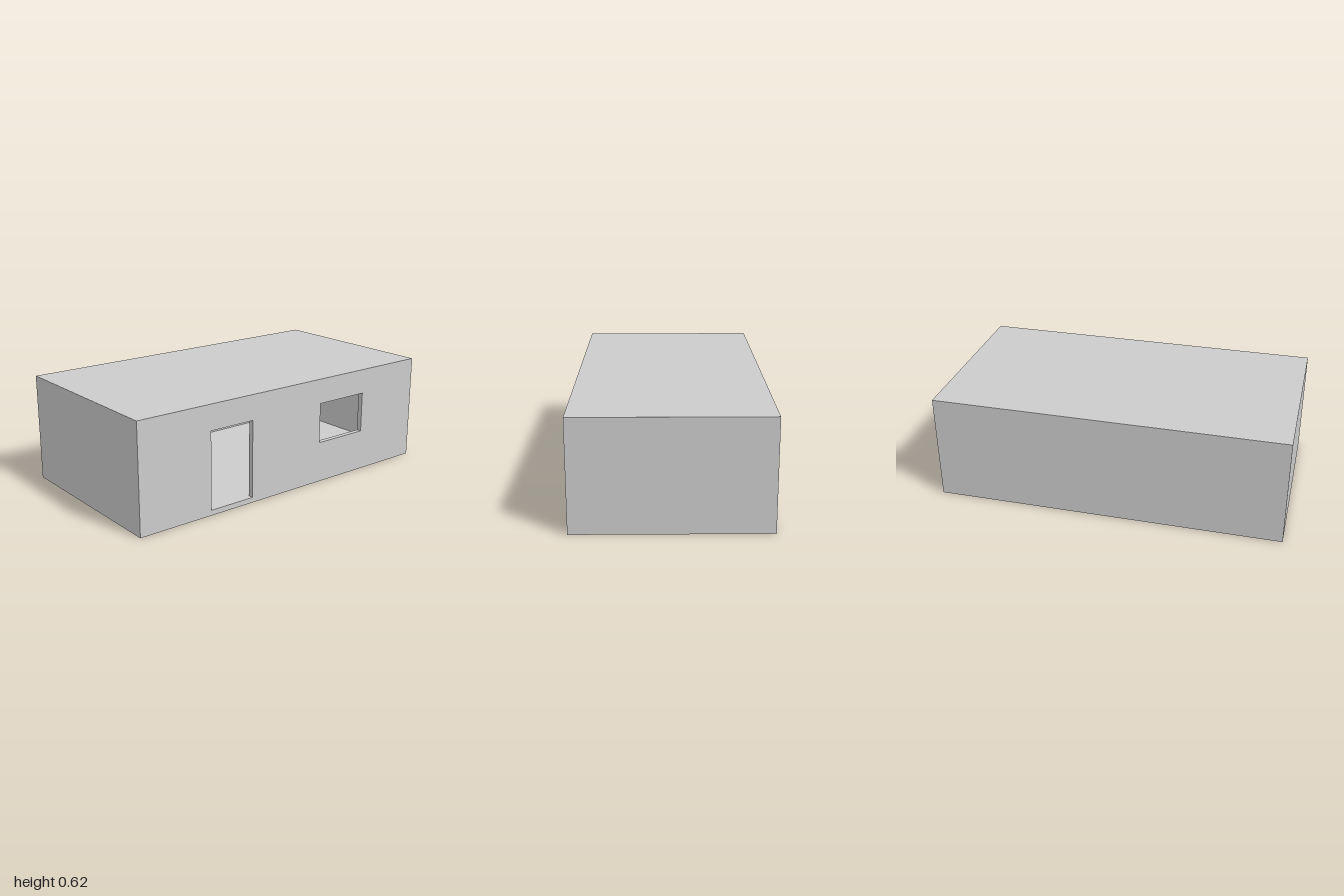
import * as THREE from 'three';

const W = 2, H = 0.62, D = 1.06, T = 0.03; // outer size and wall thickness

export function createModel() {
  const house = new THREE.Group();
  house.name = 'house';
  const material = new THREE.MeshStandardMaterial({ color: 0xcccccc });

  function add(name, geometry, x, y, z) {
    const mesh = new THREE.Mesh(geometry, material);
    mesh.name = name;
    mesh.position.set(x, y, z);
    house.add(mesh);
  }

  function rectangle(path, x0, y0, x1, y1) {
    path.moveTo(x0, y0);
    path.lineTo(x1, y0);
    path.lineTo(x1, y1);
    path.lineTo(x0, y1);
    path.closePath();
    return path;
  }

  // Floor and roof slabs
  add('floor', new THREE.BoxGeometry(W, T, D), 0, T / 2, 0);
  add('roof', new THREE.BoxGeometry(W, T, D), 0, H - T / 2, 0);

  // Side and back walls, between the slabs
  const wallHeight = H - 2 * T;
  for (const [name, side] of [['leftWall', 1], ['rightWall', -1]]) {
    add(name, new THREE.BoxGeometry(T, wallHeight, D - 2 * T), side * (W - T) / 2, H / 2, 0);
  }
  add('backWall', new THREE.BoxGeometry(W, wallHeight, T), 0, H / 2, -(D - T) / 2);

  // Front wall with a doorway down to the floor slab and a window opening
  const front = new THREE.Shape();
  front.moveTo(-W / 2, T);
  for (const [x, y] of [[-0.55, T], [-0.55, 0.475], [-0.27, 0.475], [-0.27, T],
    [W / 2, T], [W / 2, H - T], [-W / 2, H - T]]) front.lineTo(x, y);
  front.closePath();
  front.holes.push(rectangle(new THREE.Path(), 0.23, 0.24, 0.57, 0.475));
  add('frontWall', new THREE.ExtrudeGeometry(front, { depth: T, bevelEnabled: false }), 0, 0, D / 2 - T);

  return house;
}
